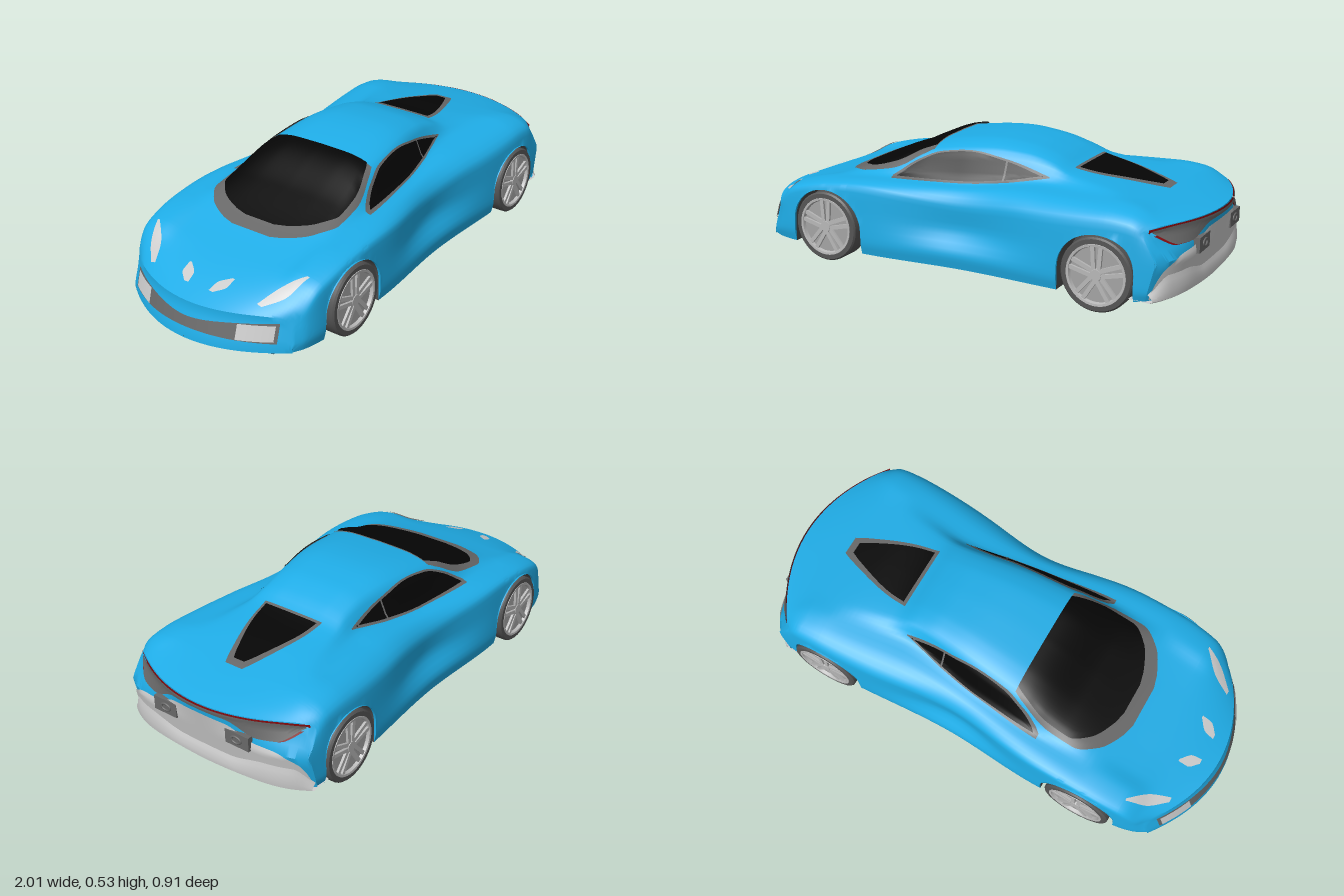
import * as THREE from 'three';
import { toCreasedNormals } from 'three/addons/utils/BufferGeometryUtils.js';

const mat = (name, color) => new THREE.MeshStandardMaterial({ name, color, side: THREE.DoubleSide });
const paint = mat('blue paint', 0x20b2ee), glass = mat('black glass', 0x050505), trim = mat('grey trim', 0x686868);
const under = mat('dark underbody', 0x4c4c4c), rubber = mat('tyre rubber', 0x555555), silver = mat('silver panel', 0xcccccc);
const alloy = mat('alloy', 0xb8b8b8), recess = mat('rim recess', 0xa4a4a4), red = mat('red light', 0x850c0f);

// Monotone curve through [position, value] pairs.
function curve(k) {
  const n = k.length - 1;
  const d = Array.from({ length: n }, (_, i) => (k[i + 1][1] - k[i][1]) / (k[i + 1][0] - k[i][0]));
  const m = k.map((_, i) => i === 0 ? d[0] : i === n ? d[n - 1] : d[i - 1] * d[i] <= 0 ? 0 : 2 * d[i - 1] * d[i] / (d[i - 1] + d[i]));
  return (x) => {
    if (x <= k[0][0]) return k[0][1];
    if (x >= k[n][0]) return k[n][1];
    let i = 0;
    while (x > k[i + 1][0]) i++;
    const h = k[i + 1][0] - k[i][0], t = (x - k[i][0]) / h, s = 1 - t;
    return k[i][1] * s * s * (1 + 2 * t) + k[i + 1][1] * t * t * (3 - 2 * t) + h * (m[i] * t * s * s - m[i + 1] * t * t * s);
  };
}

// Main body lines along x: roof height, belt height and half width, plan half width, shoulder drop
const roof = curve([[-1, .195], [-.85, .245], [-.58, .325], [-.38, .402], [-.15, .5], [.11, .53], [.25, .517], [.36, .485], [.45, .443], [.65, .411], [.92, .362], [1, .344]]);
const beltY = curve([[-1, .19], [-.85, .238], [-.7, .305], [-.55, .337], [-.3, .36], [0, .368], [.36, .4], [.67, .402], [1, .342]]);
const beltZ = curve([[-1, .31], [-.6, .33], [-.3, .325], [0, .3], [.36, .25], [.5, .268], [1, .36]]);
const plan = curve([[-1, .39], [-.85, .42], [-.6, .447], [-.35, .45], [.1, .425], [.67, .45], [1, .44]]);
const drop = curve([[-1, .04], [-.54, .025], [.2, .08], [1, .042]]);
const sillY = (x) => .052 + .022 * Math.max(0, x) ** 4;

// Wheel arches, slightly flattened
const axles = [-.54, .67], AXLE_Y = .145, ARCH = .167;
const archY = (x) => Math.max(...axles.map((c) => Math.abs(x - c) <= ARCH + 1e-6 ? AXLE_Y + .92 * Math.sqrt(Math.max(0, ARCH ** 2 - (x - c) ** 2)) : 0));

// Half section as [z, y] from centre top to sill: domed roof, shoulder, scooped flank
function section(x) {
  const by = beltY(x), bz = beltZ(x), w = plan(x), rise = roof(x) - by;
  const scoop = .04 * Math.exp(-(((x - .07) / .25) ** 2));
  const flankZ = w - .01 - .65 * scoop, flankY = by - drop(x), lowY = Math.min(.11, .085 + .08 * (x + 1));
  const dome = [[0, 1], [.4, .98], [.57, .93], [.78, .77], [1, 0]].map(([f, g]) => [bz * f, by + rise * g]);
  const points = [...dome,
    [bz + .57 * (flankZ - bz), by + .22 * (flankY - by)],
    [flankZ, flankY],
    [w - .003 - scoop, (flankY + lowY) / 2],
    [w, lowY],
    [w - .01, sillY(x)]];
  const [fz, fy] = [0, 1].map((j) => curve(points.map((p, i) => [i, p[j]])));
  const arch = archY(x);
  return Array.from({ length: 37 }, (_, i) => [fz(i / 4), Math.max(arch, fy(i / 4))]);
}

// Bows the nose and tail in plan, rakes their faces and sweeps the tail lights forward.
const clamp = (v, lo, hi) => Math.min(hi, Math.max(lo, v));
function warp(x, y, z) {
  const f = Math.max(0, (-.72 - x) / .28) ** 1.5, r = Math.max(0, (x - .78) / .22) ** 1.3;
  const sweep = clamp((y - .22) / .1, 0, 1);
  const bow = 2.2 * z ** 4 * (1 - sweep) + .88 * z * z * sweep;
  return x + f * (z * z + .3 * clamp(y - .07, 0, .1)) - r * (bow + .22 * Math.max(0, .33 - y));
}
const unwarp = (x, z) => { let s = x; for (let i = 0; i < 40; i++) s = x - warp(s, .22, z) + s; return s; };

function grid(rows) {
  const w = rows[0].length, idx = [];
  for (let i = 0; i < rows.length - 1; i++) for (let j = 0; j < w - 1; j++) {
    const a = i * w + j, b = a + w;
    idx.push(a, a + 1, b, b, a + 1, b + 1);
  }
  const g = new THREE.BufferGeometry();
  g.setAttribute('position', new THREE.Float32BufferAttribute(rows.flat(2), 3));
  g.setIndex(idx);
  return toCreasedNormals(g, .65);
}

export function createModel() {
  const car = new THREE.Group();
  const add = (name, geo, material, parent = car) => {
    const m = new THREE.Mesh(geo, material);
    m.name = name;
    parent.add(m);
    return m;
  };

  // Body shell and underside, with wheel arches cut into the sections and closed ends
  const xs = Array.from({ length: 91 }, (_, i) => -1 + i / 45);
  for (const c of axles) {
    for (let k = 0; k <= 24; k++) xs.push(c + ARCH * Math.cos(k * Math.PI / 24));
    xs.push(c - ARCH - .001, c + ARCH + .001);
  }
  xs.sort((a, b) => a - b);
  const ring = (x, half, close = 0) => {
    const pts = half.map(([z, y]) => [z, y + (sillY(x) - y) * close]);
    return [...pts.slice(1).reverse().map(([z, y]) => [-z, y]), ...pts].map(([z, y]) => [warp(x, y, z), y, z]);
  };
  const floorHalf = (x) => {
    const [z, y] = section(x)[36], f = sillY(x);
    return [[0, f + .006], [.335, f - .004], [.335, y], [z, y]];
  };
  const steps = [.15, .3, .45, .6, .8, 1];
  const shell = (half) => grid([...steps.map((t) => ring(-1, half(-1), t)).reverse(),
    ...xs.map((x) => ring(x, half(x))), ...steps.map((t) => ring(1, half(1), t))]);
  add('body', shell(section), paint);
  add('underbody', shell(floorHalf), under);

  // Thin plates laid on the body: a runs along, b runs between two edge curves
  const patch = (name, material, a0, a1, lo, hi, map, nb = 10, na = 32) => {
    const L = curve(lo), H = curve(hi);
    add(name, grid(Array.from({ length: na + 1 }, (_, i) => {
      const a = a0 + (a1 - a0) * i / na;
      return Array.from({ length: nb + 1 }, (_, j) => map(a, L(a) + (H(a) - L(a)) * j / nb));
    })), material);
  };
  const find = (pts, v, axis) => {
    for (let i = 1; i < pts.length; i++) {
      const p = pts[i - 1][axis], q = pts[i][axis];
      if ((p - v) * (q - v) <= 0 && p !== q) return pts[i - 1][1 - axis] + (pts[i][1 - axis] - pts[i - 1][1 - axis]) * (v - p) / (q - p);
    }
    return pts[0][1 - axis];
  };
  const onTop = (off) => (x, z) => [x, find(section(unwarp(x, z)), Math.abs(z), 0) + off, z];
  const onSide = (s, off) => (x, y) => [x, y + off * .5, s * (find(section(x), y, 1) + off)];
  const onTail = (off) => (z, y) => [warp(1, y, z) + off, y, z];
  const onNose = (off) => (z, y) => [warp(-1, y, z) - off, y, z];
  const even = (k) => [...k.slice(1).reverse().map(([a, b]) => [-a, b]), ...k];

  // Windscreen and rear window: a symmetric pane over a slightly larger frame
  const pane = (name, material, k, off) => patch(name, material, k[0][0], k[k.length - 1][0], k.map(([a, b]) => [a, -b]), k, onTop(off), 32);
  const shield = [[-.545, .07], [-.53, .13], [-.48, .225], [-.4, .278], [-.3, .274], [-.17, .235], [-.14, .22]];
  pane('windscreenFrame', trim, shield.map(([x, w]) => [-.14 + (x + .14) * 1.135, w + .022]), .004);
  pane('windscreen', glass, shield, .008);
  const rear = [[.45, .125], [.52, .115], [.72, .045], [.76, .025]];
  pane('rearWindowFrame', trim, rear.map(([x, w]) => [.435 + (x - .45) * 1.15, w + .015]), .004);
  pane('rearWindow', glass, rear, .008);

  const top = [[-.29, .366], [-.2, .43], [-.1, .472], [.04, .488], [.18, .469], [.37, .421]];
  const base = [[-.29, .358], [0, .366], [.2, .386], [.37, .417]];
  const inset = (k, d) => k.map(([x, y]) => [x * .95, y + d]);
  for (const s of [1, -1]) {
    // Side windows
    patch('sideWindowFrame', trim, -.29, .37, base, top, onSide(s, .004));
    patch('sideWindow', glass, -.27, .345, inset(base, .006), inset(top, -.006), onSide(s, .008));
    patch('sideWindowDivider', trim, .184, .192, [[0, .388], [1, .388]], [[0, .464], [1, .464]], onSide(s, .01), 8, 2);
    // Headlights
    const lamp = (name, x0, x1, z0, z1, w) => {
      const edge = (d) => [[x0, s * (z0 + d * .4)], [(x0 + x1) / 2, s * ((z0 + z1) / 2 + d)], [x1, s * (z1 + d * .2)]];
      patch(name, silver, x0, x1, edge(-w), edge(w), onTop(.005), 4, 12);
    };
    lamp('outerHeadlight', -.87, -.715, .26, .368, .026);
    lamp('innerHeadlight', -.905, -.825, .06, .105, .026);
    // Nose corner intakes
    patch('cornerIntake', silver, s * .21, s * .335, [[-1, .098], [1, .098]], [[-1, .158], [1, .158]], onNose(.008), 3, 10);
  }
  patch('noseIntake', trim, -.345, .345, even([[0, .1], [.345, .09]]), even([[0, .14], [.2, .158], [.345, .167]]), onNose(.005), 4);

  // Tail: light band with red edge, silver panel and diffuser
  const bandLow = even([[0, .322], [.12, .316], [.25, .268], [.32, .27], [.4, .322]]), bandTop = even([[0, .338], [.3, .337], [.4, .33]]);
  const grow = (k, d) => k.map(([z, y]) => [z * 1.025, y + d]);
  patch('tailLightEdge', red, -.41, .41, grow(bandLow, -.002), grow(bandTop, .005), onTail(.004), 6, 60);
  patch('tailLightBand', trim, -.4, .4, bandLow, bandTop, onTail(.008), 6, 60);
  patch('tailPanel', silver, -.435, .435, even([[0, .08], [.435, .08]]),
    even([[0, .3], [.12, .293], [.22, .25], [.33, .232], [.41, .18], [.435, .1]]), onTail(.006), 12, 60);
  const lipTop = curve(even([[0, .135], [.11, .137], [.28, .172], [.38, .172], [.44, .1]]));
  const lipLow = curve(even([[0, .06], [.25, .072], [.44, .068]]));
  add('diffuser', grid(Array.from({ length: 61 }, (_, i) => {
    const z = -.44 + .88 * i / 60, t = lipTop(z), b = lipLow(z), at = (y, off) => [warp(1, y, z) + off, y, z];
    return [at(t, .004), at(t - .25 * (t - b), .014), at(t - .6 * (t - b), .026), at(b + .006, .028), at(b, .02), at(b + .004, -.08)];
  })), silver);
  for (const s of [1, -1]) {
    const box = add('exhaustSurround', new THREE.BoxGeometry(.03, .06, .11), trim);
    box.position.set(.972, .243, s * .175);
    const pipe = add('exhaustPipe', new THREE.TorusGeometry(.014, .004, 8, 20), trim);
    pipe.rotation.y = Math.PI / 2;
    pipe.scale.x = 1.5;
    pipe.position.set(.988, .243, s * .172);
  }

  // Wheels: lathed tyre and rim with five split spokes
  const lathe = (pts) => toCreasedNormals(new THREE.LatheGeometry(pts.map(([r, z]) => new THREE.Vector2(r, z)), 48).rotateX(Math.PI / 2), .6);
  const tyre = lathe([[.118, -.047], [.138, -.047], [.145, -.04], [.145, .04], [.139, .047], [.12, .047], [.118, .03]]);
  const rim = lathe([[.122, .044], [.12, .049], [.111, .048], [.107, .034]]);
  const dish = new THREE.CylinderGeometry(.119, .119, .07, 48).rotateX(Math.PI / 2);
  const hub = new THREE.CylinderGeometry(.022, .026, .014, 20).rotateX(Math.PI / 2);
  for (const c of axles) for (const s of [1, -1]) {
    const wheel = new THREE.Group();
    wheel.name = c < 0 ? 'frontWheel' : 'rearWheel';
    add('tyre', tyre, rubber, wheel);
    add('rimDish', dish, recess, wheel);
    add('rimRing', rim, alloy, wheel);
    add('hub', hub, alloy, wheel).position.z = .04;
    for (let k = 0; k < 5; k++) for (const side of [1, -1]) {
      const spoke = add('spoke', new THREE.BoxGeometry(.016, .1, .012).translate(side * .009, .062, .039), alloy, wheel);
      spoke.rotation.z = k * Math.PI * .4 - side * .07;
    }
    wheel.position.set(c, AXLE_Y, s * .408);
    if (s < 0) wheel.rotation.y = Math.PI;
    car.add(wheel);
  }
  return car;
}
